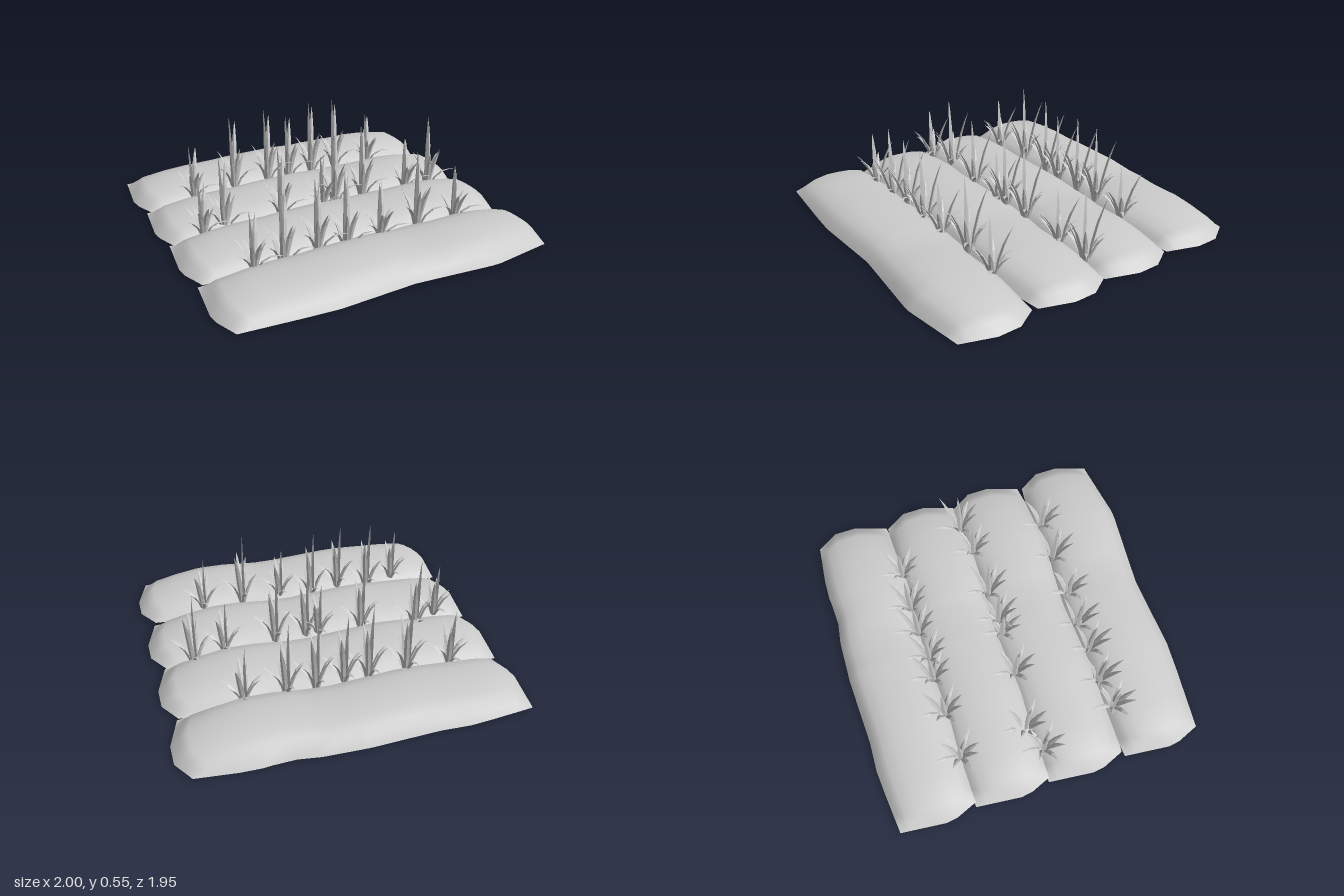
import * as THREE from 'three';
import { mergeGeometries } from 'three/addons/utils/BufferGeometryUtils.js';

// Piecewise-linear lookup in a list of [key, value] pairs
function sample(pairs, t) {
  for (let i = 1; i < pairs.length; i++) {
    const [a, va] = pairs[i - 1], [b, vb] = pairs[i];
    if (t <= b) return va + (vb - va) * Math.max(0, (t - a) / (b - a));
  }
  return pairs[pairs.length - 1][1];
}

// Surface over a rows x cols grid of points, facing up
function gridSurface(rows) {
  const cols = rows[0].length, index = [];
  for (let i = 0; i < rows.length - 1; i++) {
    for (let j = 0; j < cols - 1; j++) {
      const p = i * cols + j, q = p + cols;
      index.push(p, p + 1, q, q, p + 1, q + 1);
    }
  }
  const g = new THREE.BufferGeometry();
  g.setAttribute('position', new THREE.Float32BufferAttribute(rows.flat(2), 3));
  g.setIndex(index);
  g.computeVertexNormals();
  return g;
}

// Soil mound: cross-sections along x, closing down to the ground at both ends
function moundGeometry() {
  const back = [[-0.97, -0.25], [-0.6, -0.285], [-0.4, -0.275], [0, -0.29], [0.28, -0.28],
    [0.42, -0.255], [0.62, -0.275], [0.93, -0.24]];
  const front = [[-0.94, 0.22], [-0.42, 0.26], [0.06, 0.23], [0.56, 0.27], [0.93, 0.21]];
  const ridge = [[-0.9, 0.087], [-0.75, 0.105], [-0.3, 0.125], [0, 0.122], [0.2, 0.112],
    [0.4, 0.127], [0.7, 0.122], [0.9, 0.09]];
  const leftEnd = [[-1, -0.965], [0.3, -1], [1, -0.935]];
  const rightEnd = [[-1, 0.925], [-0.45, 1], [0.15, 1], [1, 0.935]];
  const across = [[-1, 0], [-0.88, 0.42], [-0.72, 0.74], [-0.45, 0.93], [-0.15, 1], [0.15, 1],
    [0.45, 0.94], [0.72, 0.76], [0.88, 0.42], [1, 0]];
  const xs = [-1, -0.95, -0.9, -0.75, -0.6, -0.42, -0.3, -0.15, 0, 0.06, 0.2, 0.28, 0.42, 0.56,
    0.62, 0.75, 0.9, 0.95, 1];
  const rows = xs.map((x) => across.map(([s, h]) => {
    const end = x < 0 ? -sample(leftEnd, s) : sample(rightEnd, s);
    const px = x * end;
    const b = sample(back, px), f = sample(front, px);
    const taper = Math.abs(x) === 1 ? 0 : Math.abs(x) === 0.95 ? 0.6 : 1;
    return [px, 0.01 + (sample(ridge, x) - 0.01) * h * taper, b + (f - b) * (s + 1) / 2];
  }));
  return gridSurface(rows);
}

// Grass blade: diamond section swept along a bent path to a pointed tip
function bladeGeometry([tx, tz, h, bend, width]) {
  const out = new THREE.Vector3(tx, 0, tz).normalize();
  const side = new THREE.Vector3().crossVectors(out, new THREE.Vector3(0, 1, 0));
  const path = new THREE.QuadraticBezierCurve3(
    out.clone().multiplyScalar(0.015),
    new THREE.Vector3(tx * 0.35, h * bend, tz * 0.35),
    new THREE.Vector3(tx, h, tz));
  const profile = [[0, 0.6], [0.3, 0.95], [0.6, 0.85], [0.85, 0.4], [1, 0]];
  const pos = [], index = [0, 2, 1, 0, 3, 2];
  profile.forEach(([t, w], i) => {
    const c = path.getPoint(t);
    for (let k = 0; k < 4; k++) {
      const a = k * Math.PI / 2;
      const p = c.clone().addScaledVector(side, Math.cos(a) * w * width / 2)
        .addScaledVector(out, Math.sin(a) * w * width / 4);
      pos.push(p.x, p.y, p.z);
      if (i < profile.length - 1) {
        const n = i * 4 + k, m = i * 4 + (k + 1) % 4;
        index.push(n, m, n + 4);
        if (i < profile.length - 2) index.push(m, m + 4, n + 4);
      }
    }
  });
  const g = new THREE.BufferGeometry();
  g.setAttribute('position', new THREE.Float32BufferAttribute(pos, 3));
  g.setIndex(index);
  g.computeVertexNormals();
  return g;
}

// Tuft: upright blades in the middle, drooping blades around them
function tuftGeometry() {
  return mergeGeometries([
    // tip x, tip z, height, bend, width
    [-0.02, 0.005, 0.50, 0.5, 0.036],
    [0.055, -0.095, 0.42, 0.6, 0.034],
    [0.0, 0.125, 0.32, 0.65, 0.032],
    [-0.055, 0.105, 0.29, 0.65, 0.03],
    [-0.085, -0.06, 0.25, 0.7, 0.03],
    [0.1, -0.05, 0.21, 0.75, 0.03],
    [0.05, 0.055, 0.26, 0.6, 0.03],
    [-0.005, -0.16, 0.16, 0.95, 0.03],
    [0.13, 0.11, 0.15, 1.05, 0.03],
    [-0.125, 0.05, 0.18, 0.9, 0.03],
  ].map(bladeGeometry));
}

export function createModel() {
  const model = new THREE.Group();
  model.name = 'plantedField';
  const soil = new THREE.MeshStandardMaterial({ color: 0xcccccc, side: THREE.DoubleSide });
  const grass = new THREE.MeshStandardMaterial({ color: 0xcccccc, flatShading: true });

  // Four parallel mounds
  const mound = moundGeometry();
  [-0.69, -0.23, 0.22, 0.7].forEach((z, i) => {
    const m = new THREE.Mesh(mound, soil);
    m.name = `soilMound${i + 1}`;
    m.position.z = z;
    model.add(m);
  });

  // Tufts in the three furrows: x, z, base height, height scale
  const tuft = tuftGeometry();
  const furrows = [
    [[-0.66, -0.48, 0.05, 0.7], [-0.39, -0.49, 0.05, 1], [-0.16, -0.49, 0.05, 1],
      [-0.02, -0.475, 0.05, 0.9], [0.15, -0.49, 0.05, 1], [0.32, -0.49, 0.05, 0.97],
      [0.56, -0.475, 0.05, 0.7]],
    [[-0.77, 0, 0.05, 0.7], [-0.62, -0.06, 0, 1], [-0.28, -0.01, 0.04, 0.9],
      [-0.01, 0, 0.05, 0.7], [0.07, 0, 0.05, 1], [0.26, 0, 0.05, 1],
      [0.57, 0, 0.05, 0.7], [0.76, -0.03, 0, 1]],
    [[-0.66, 0.48, 0.05, 0.7], [-0.48, 0.46, 0, 1], [-0.28, 0.47, 0.05, 0.9],
      [-0.1, 0.465, 0, 1], [0.11, 0.48, 0.05, 0.7], [0.36, 0.465, 0.05, 0.97],
      [0.61, 0.48, 0.05, 0.7]],
  ];
  furrows.forEach((list, r) => {
    const row = new THREE.Group();
    row.name = `grassRow${r + 1}`;
    list.forEach(([x, z, y, s], i) => {
      const m = new THREE.Mesh(tuft, grass);
      m.name = `grassTuft${i + 1}`;
      m.position.set(x, y, z);
      m.scale.y = s;
      row.add(m);
    });
    model.add(row);
  });
  return model;
}
